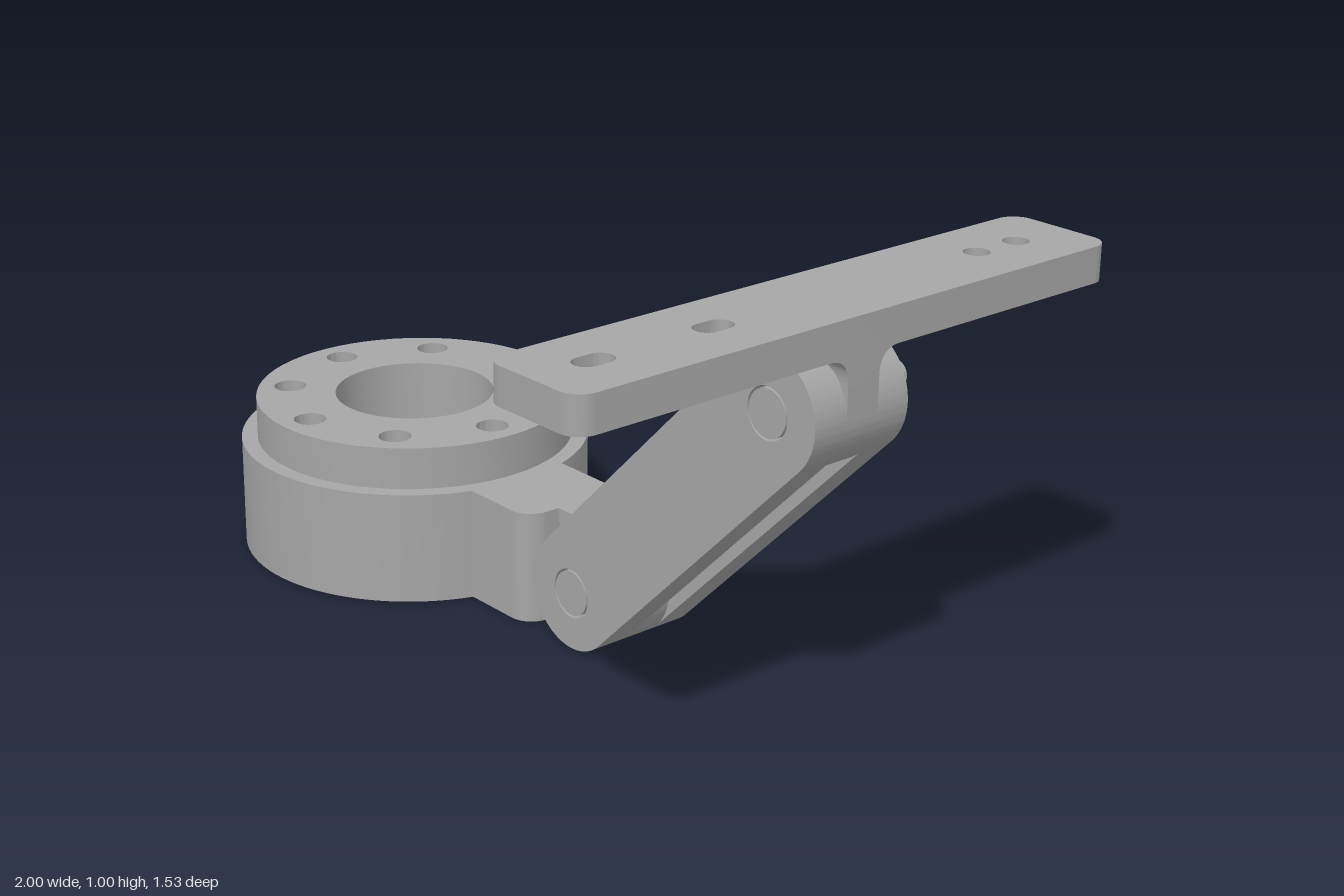
import * as THREE from 'three';
import { toCreasedNormals } from 'three/addons/utils/BufferGeometryUtils.js';

const LOW = [0.225, 0.14];   // lower pivot (x, y)
const HIGH = [0.855, 0.775]; // upper pivot (x, y)
const R = 0.14;              // radius of arms and lugs

export function createModel() {
  const model = new THREE.Group();
  model.name = 'articulatedMount';
  const grey = new THREE.MeshStandardMaterial({ color: 0xa6a6a6 });
  grey.name = 'grey metal';

  const add = (name, geometry, parent = model) => {
    const mesh = new THREE.Mesh(toCreasedNormals(geometry, 0.6), grey);
    mesh.name = name;
    parent.add(mesh);
    return mesh;
  };
  const extrude = (shape, depth) =>
    new THREE.ExtrudeGeometry(shape, { depth, bevelEnabled: false, curveSegments: 32 });
  // Extrudes a plan shape upward from y; shape y is -z
  const slab = (shape, y, height) => extrude(shape, height).rotateX(-Math.PI / 2).translate(0, y, 0);
  const circle = (x, y, r, C = THREE.Path) => new C().absarc(x, y, r, 0, Math.PI * 2);
  const slot = (x, y, half, r) => new THREE.Path()
    .absarc(x, y + half, r, 0, Math.PI).absarc(x, y - half, r, Math.PI, Math.PI * 2).closePath();

  // Round base: holed core with a wider jacket that hangs below it
  const base = new THREE.Group();
  base.name = 'roundBase';
  base.position.x = -0.56;
  model.add(base);
  const core = circle(0, 0, 0.4, THREE.Shape);
  core.holes.push(circle(0, 0, 0.2));
  for (let i = 0; i < 8; i++) {
    const a = (i * Math.PI) / 4;
    core.holes.push(circle(0.32 * Math.cos(a), 0.32 * Math.sin(a), 0.04));
  }
  add('flangeCore', slab(core, 0.07, 0.315), base);
  const jacket = [[0.4, 0.07], [0.4, 0], [0.44, 0], [0.44, 0.28], [0.4, 0.28]]
    .map(p => new THREE.Vector2(...p));
  add('jacket', new THREE.LatheGeometry(jacket, 96), base);

  // Neck block with rounded outer corners
  const c = 0.06;
  const neck = new THREE.Shape();
  neck.moveTo(-0.15, -R);
  neck.lineTo(0.07 - c, -R);
  neck.absarc(0.07 - c, -R + c, c, -Math.PI / 2, 0);
  neck.absarc(0.07 - c, R - c, c, 0, Math.PI / 2);
  neck.lineTo(-0.15, R);
  neck.closePath();
  add('neck', slab(neck, 0, 0.28));

  // Tongue between the arms
  const tongue = new THREE.Shape();
  tongue.moveTo(0.05, 0);
  tongue.absarc(...LOW, R, -Math.PI / 2, Math.PI / 2);
  tongue.lineTo(0.05, 0.28);
  tongue.closePath();
  add('tongue', extrude(tongue, 0.09).translate(0, 0, -0.045));

  // Pair of slanted arms with a pivot hole at each end
  const dx = HIGH[0] - LOW[0], dy = HIGH[1] - LOW[1];
  const length = Math.hypot(dx, dy);
  const arm = new THREE.Shape();
  arm.absarc(length, 0, R, -Math.PI / 2, Math.PI / 2);
  arm.absarc(0, 0, R, Math.PI / 2, Math.PI * 1.5);
  arm.closePath();
  arm.holes.push(circle(0, 0, 0.06), circle(length, 0, 0.06));
  for (const [name, z] of [['frontArm', 0.045], ['backArm', -0.135]]) {
    add(name, extrude(arm, 0.09).rotateZ(Math.atan2(dy, dx)).translate(...LOW, z));
  }

  // Upper lug and the fillets that join it to the plate
  const lug = new THREE.Shape();
  lug.moveTo(HIGH[0] - R, 0.915);
  lug.absarc(...HIGH, R, Math.PI, Math.PI * 2);
  lug.lineTo(HIGH[0] + R, 0.915);
  lug.closePath();
  add('plateLug', extrude(lug, 0.09).translate(0, 0, -0.045));
  const fillet = new THREE.Shape();
  fillet.moveTo(-0.045, 0.855);
  fillet.lineTo(0.045, 0.855);
  fillet.quadraticCurveTo(0.045, 0.915, 0.1, 0.915);
  fillet.lineTo(-0.1, 0.915);
  fillet.quadraticCurveTo(-0.045, 0.915, -0.045, 0.855);
  add('lugFillet', extrude(fillet, 2 * R).rotateY(Math.PI / 2).translate(HIGH[0] - R, 0, 0));

  // Mounting plate: two round holes at the back, two slots at the front
  const w = R, l = 0.765, r = 0.05;
  const plate = new THREE.Shape();
  plate.absarc(w - r, l - r, r, 0, Math.PI / 2);
  plate.absarc(r - w, l - r, r, Math.PI / 2, Math.PI);
  plate.absarc(r - w, r - l, r, Math.PI, Math.PI * 1.5);
  plate.absarc(w - r, r - l, r, Math.PI * 1.5, Math.PI * 2);
  plate.closePath();
  plate.holes.push(circle(0, 0.61, 0.03), circle(0, 0.483, 0.03));
  plate.holes.push(slot(0, -0.292, 0.018, 0.03), slot(0, -0.605, 0.018, 0.03));
  add('mountingPlate', slab(plate, 0.915, 0.085).translate(HIGH[0], 0, 0));

  // Pivot bolts: flush at the front, with washer, nut and thread end at the back
  const rod = (radius, front, back, sides) =>
    new THREE.CylinderGeometry(radius, radius, front - back, sides)
      .rotateY(Math.PI / 2).rotateX(Math.PI / 2).translate(0, 0, (front + back) / 2);
  for (const [name, pivot] of [['lowerBolt', LOW], ['upperBolt', HIGH]]) {
    const bolt = new THREE.Group();
    bolt.name = name;
    bolt.position.set(...pivot, 0);
    add('pin', rod(0.055, 0.135, -0.135, 40), bolt);
    add('washer', rod(0.064, -0.135, -0.147, 40), bolt);
    add('nut', rod(0.06, -0.147, -0.213, 6), bolt);
    add('threadEnd', rod(0.031, -0.213, -0.248, 28), bolt);
    model.add(bolt);
  }
  return model;
}
